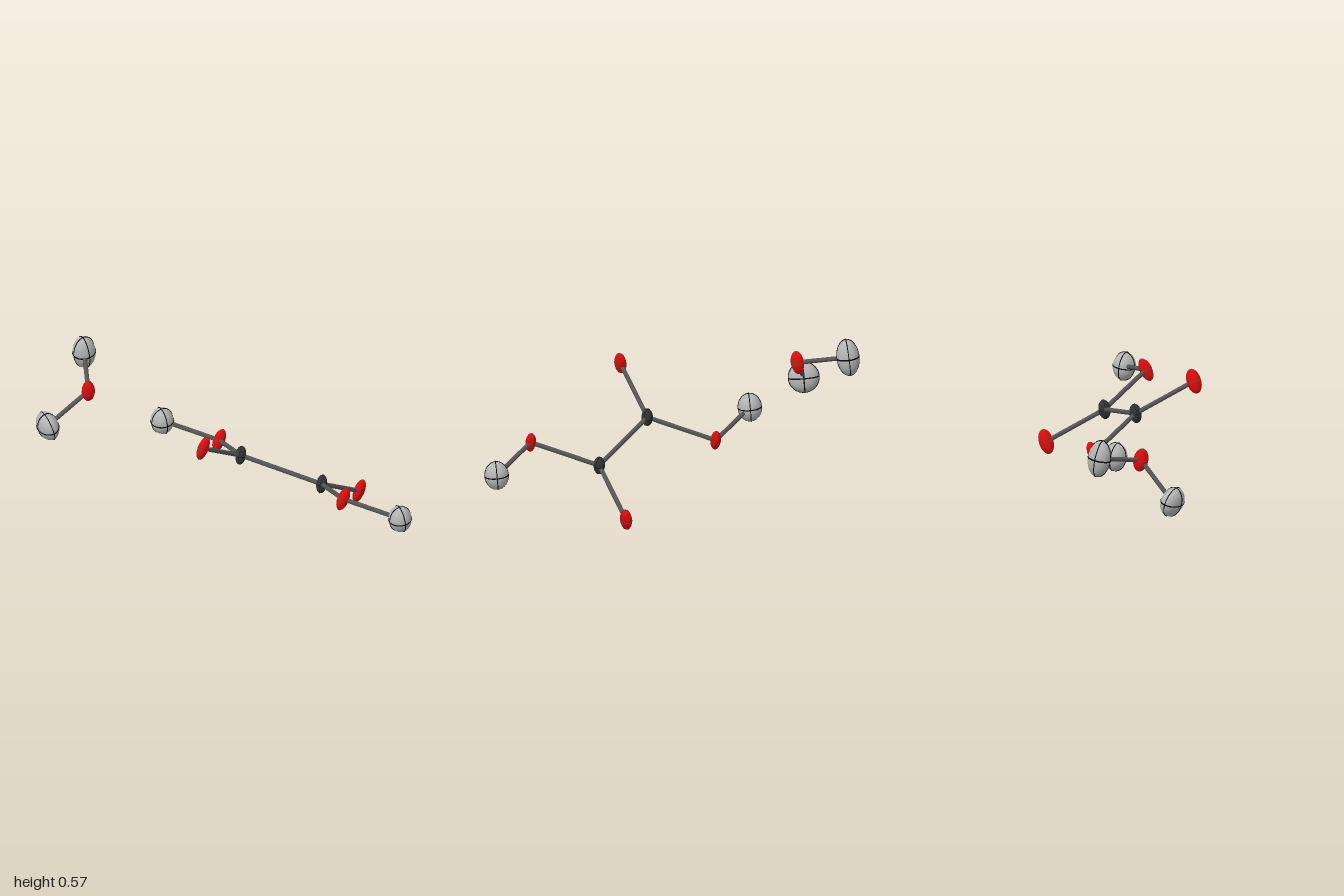
import * as THREE from 'three';

const mat = (color) => new THREE.MeshStandardMaterial({ color });
const V = (a) => new THREE.Vector3(...a);

export function createModel() {
  const root = new THREE.Group();
  const red = mat(0xe00808), dark = mat(0x333333), light = mat(0xb4b4b4);
  const black = mat(0x080808), grey = mat(0x555555), bondMat = mat(0x555555);
  const ball = new THREE.SphereGeometry(1, 36, 24);
  const thickRing = new THREE.TorusGeometry(1, 0.045, 6, 48);
  const thinRing = new THREE.TorusGeometry(1, 0.03, 6, 48);
  const rod = new THREE.CylinderGeometry(0.011, 0.011, 1, 12);

  // Ellipsoid styles: radii along [mid, long, short], and the long and mid directions
  const styles = {
    carbon: { r: [0.029, 0.047, 0.025], long: [0.2, 0.97, 0], mid: [0.8, -0.2, -0.5], m: dark, ring: thinRing, rm: black },
    endOxygen: { r: [0.034, 0.06, 0.025], long: [0.33, 0.93, 0.12], mid: [0.85, -0.3, -0.4], m: red, ring: thinRing, rm: grey },
    linkOxygen: { r: [0.031, 0.057, 0.024], long: [0.42, 0.9, 0.03], mid: [0.9, -0.42, 0.1], m: red, ring: thinRing, rm: grey },
    hydrogen: { r: [0.055, 0.069, 0.056], long: [-0.12, 0.99, 0.05], mid: [0.96, 0.12, 0.25], m: light, ring: thickRing, rm: black },
    waterOxygen: { r: [0.035, 0.056, 0.03], long: [-0.15, 0.98, 0.1], mid: [0.9, 0.15, -0.3], m: red, ring: thinRing, rm: grey },
    waterHydrogenA: { r: [0.05, 0.073, 0.073], long: [-0.26, 0.96, 0], mid: [0.93, 0.25, 0.28], m: light, ring: thickRing, rm: black },
    waterHydrogenB: { r: [0.056, 0.089, 0.053], long: [-0.16, 0.98, 0.08], mid: [0.95, 0.16, 0.2], m: light, ring: thickRing, rm: black },
  };

  // Ellipsoid with three principal rings
  function atom(name, style, pos) {
    const s = styles[style], g = new THREE.Group();
    g.name = name;
    const y = V(s.long).normalize(), x = V(s.mid);
    x.addScaledVector(y, -x.dot(y)).normalize();
    g.quaternion.setFromRotationMatrix(new THREE.Matrix4().makeBasis(x, y, x.clone().cross(y)));
    g.position.copy(V(pos));
    g.scale.set(...s.r);
    const body = new THREE.Mesh(ball, s.m);
    body.name = 'ellipsoid';
    g.add(body);
    for (const [rx, ry] of [[0, 0], [Math.PI / 2, 0], [0, Math.PI / 2]]) {
      const ring = new THREE.Mesh(s.ring, s.rm);
      ring.name = 'principalRing';
      ring.rotation.set(rx, ry, 0);
      g.add(ring);
    }
    root.add(g);
  }

  // Straight rod between two atoms
  function bond(a, b) {
    const p = V(a), q = V(b), d = q.clone().sub(p);
    const m = new THREE.Mesh(rod, bondMat);
    m.name = 'bond';
    m.position.copy(p).add(q).multiplyScalar(0.5);
    m.scale.y = d.length();
    m.quaternion.setFromUnitVectors(new THREE.Vector3(0, 1, 0), d.normalize());
    root.add(m);
  }

  // Larger molecule: one half, then its point reflection through the centre
  const centre = [0.08, 0.288, 0.252];
  const half = {
    carbon: [-0.038, 0.342, 0.093],
    endOxygen: [-0.314, 0.514, 0.138],
    linkOxygen: [0.088, 0.233, -0.21],
    hydrogen: [-0.077, 0.305, -0.435],
  };
  const reflect = (p) => p.map((v, i) => 2 * centre[i] - v);
  for (const f of [(p) => p, reflect]) {
    for (const [name, p] of Object.entries(half)) atom(name, name, f(p));
    bond(f(half.carbon), f(half.endOxygen));
    bond(f(half.carbon), f(half.linkOxygen));
    bond(f(half.linkOxygen), f(half.hydrogen));
  }
  bond(half.carbon, reflect(half.carbon));

  // Separate water molecule
  const o = [-0.28, 0.41, -0.74], ha = [-0.459, 0.245, -0.83], hb = [-0.129, 0.473, -0.945];
  atom('waterOxygen', 'waterOxygen', o);
  atom('waterHydrogen', 'waterHydrogenA', ha);
  atom('waterHydrogen', 'waterHydrogenB', hb);
  bond(o, ha);
  bond(o, hb);
  return root;
}
